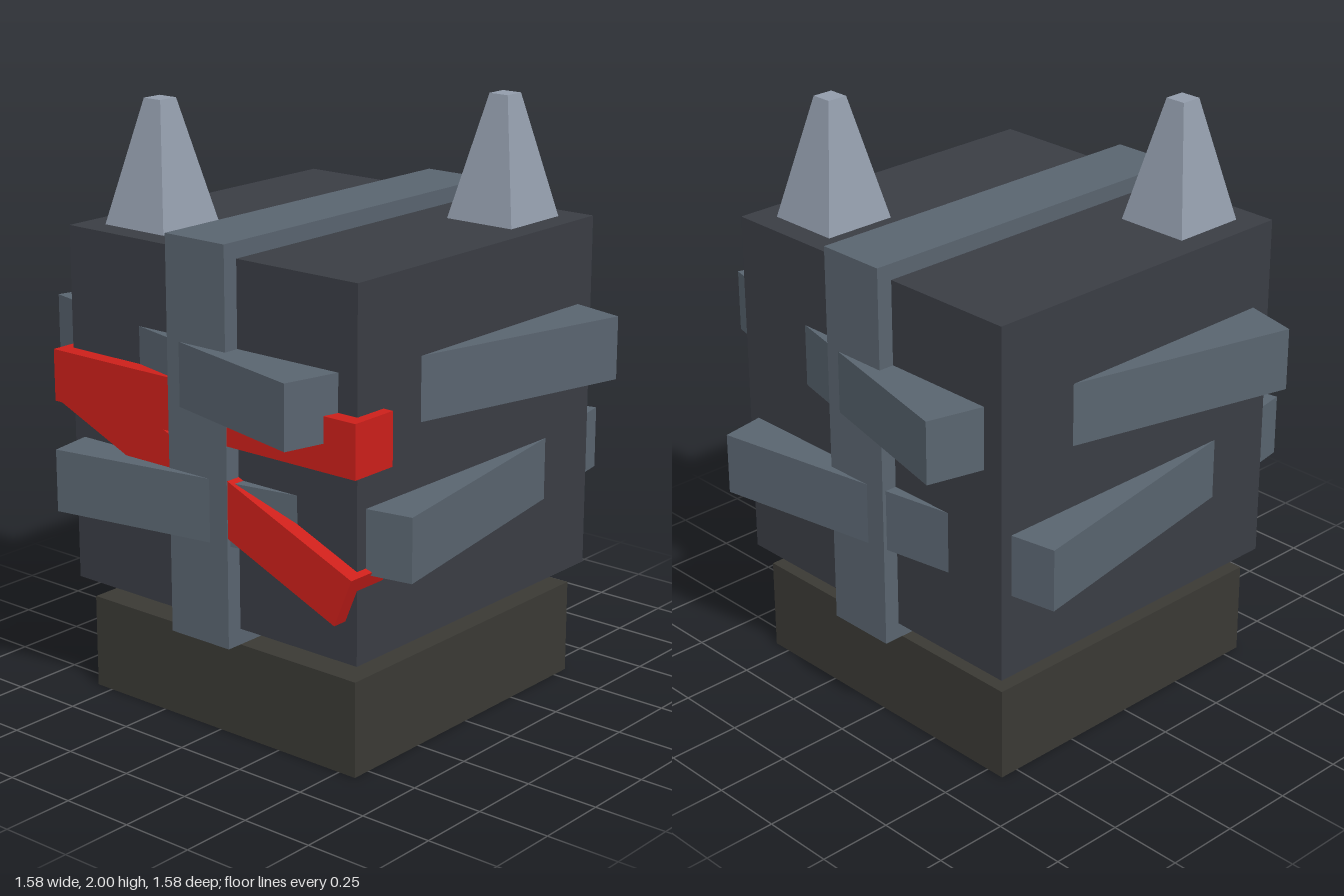
import * as THREE from 'three';

const material = (color) => new THREE.MeshStandardMaterial({ color, flatShading: true });

export function createModel() {
  const model = new THREE.Group();
  const dark = material(0x3a3d44);
  const stone = material(0x3a3934);
  const steel = material(0x59646f);
  const pale = material(0x929cab);
  const red = material(0xcc1f1a);

  const add = (name, geometry, mat, x, y, z) => {
    const mesh = new THREE.Mesh(geometry, mat);
    mesh.name = name;
    mesh.position.set(x, y, z);
    model.add(mesh);
    return mesh;
  };
  const box = (name, mat, [w, h, d], [x, y, z]) =>
    add(name, new THREE.BoxGeometry(w, h, d), mat, x, y, z);

  // Neck block and head
  box('base', stone, [1.13, 0.32, 1.13], [0, 0.16, 0]);
  box('head', dark, [1.2, 1.2, 1.2], [0, 0.993, 0]);

  // Bands: one upright loop, two twisted around the head
  box('verticalBand', steel, [0.245, 1.307, 1.31], [0, 0.993, 0]);
  box('upperBand', steel, [1.307, 0.21, 1.307], [0, 1.205, 0]).rotation.y = -0.24;
  box('lowerBand', steel, [1.307, 0.21, 1.307], [0, 0.785, 0]).rotation.y = 0.173;

  // Red stripes across the face, just behind the upright band
  const stripe = [1.273, 0.175, 0.175];
  box('levelStripe', red, stripe, [0, 1.098, 0.5655]);
  box('slantedStripe', red, stripe, [0, 0.854, 0.565]).rotation.z = -Math.PI / 8;

  // Square tapered horns on opposite corners
  const horn = new THREE.CylinderGeometry(0.036 * Math.SQRT2, 0.129 * Math.SQRT2, 0.407, 4);
  horn.rotateY(Math.PI / 4);
  add('rightHorn', horn, pale, -0.39, 1.7965, 0.39);
  add('leftHorn', horn, pale, 0.39, 1.7965, -0.39);

  return model;
}
